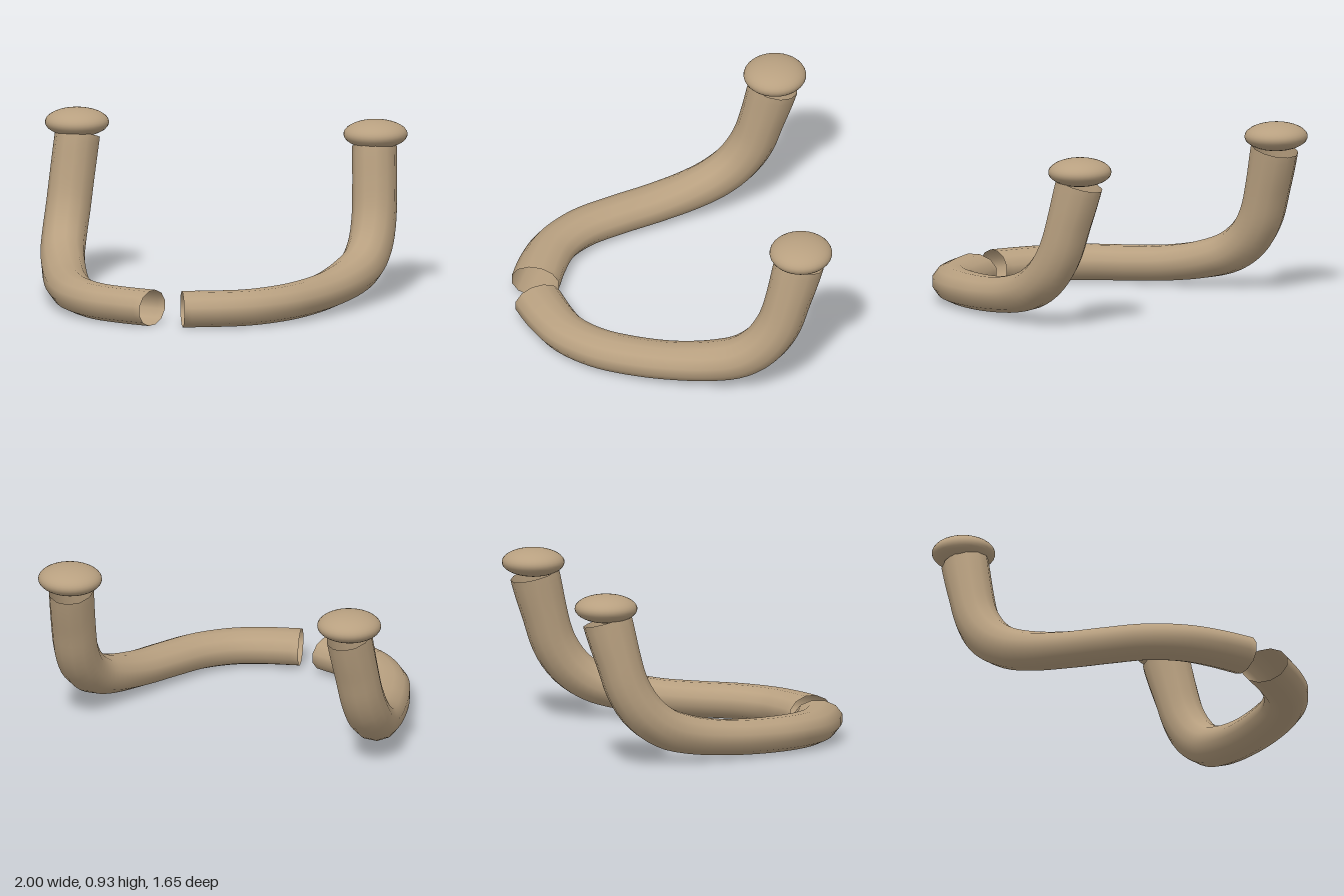
import * as THREE from 'three';

const material = new THREE.MeshStandardMaterial({ color: 0xb8a080, side: THREE.DoubleSide });
const { lerp, smoothstep } = THREE.MathUtils;

// Centre line of one arm: front end, sweep to the back, rise to the knob
const PATH = [
  [0.083, 0.1, 0.695], [0.25, 0.1, 0.64], [0.41, 0.1, 0.56], [0.555, 0.103, 0.41],
  [0.655, 0.107, 0.21], [0.73, 0.12, 0], [0.79, 0.153, -0.2], [0.828, 0.2, -0.34],
  [0.845, 0.285, -0.455], [0.846, 0.41, -0.54], [0.836, 0.6, -0.602], [0.822, 0.795, -0.655],
];

// Open tube with an oval section that is flatter along the horizontal run
function armGeometry(side, steps = 48, sides = 12) {
  const curve = new THREE.CatmullRomCurve3(PATH.map(([x, y, z]) => new THREE.Vector3(side * x, y, z)));
  const positions = [], index = [];
  for (let i = 0; i <= steps; i++) {
    const t = i / steps;
    const centre = curve.getPointAt(t), tangent = curve.getTangentAt(t);
    const rise = smoothstep(t, 0.45, 0.8);
    const across = new THREE.Vector3().crossVectors(tangent, new THREE.Vector3(0, 1, rise)).normalize();
    const normal = new THREE.Vector3().crossVectors(across, tangent);
    const flare = 0.013 * (1 - smoothstep(t, 0, 0.25));
    const width = 0.121 + flare;
    const depth = lerp(0.097, 0.121, rise) + 0.014 * smoothstep(t, 0.85, 1);
    for (let j = 0; j < sides; j++) {
      const a = ((j + 0.5) / sides) * Math.PI * 2;
      const p = centre.clone()
        .addScaledVector(across, Math.cos(a) * width)
        .addScaledVector(normal, Math.sin(a) * depth);
      positions.push(p.x, p.y, p.z);
      if (i < steps) {
        const k = (j + 1) % sides, r = i * sides, n = r + sides;
        index.push(r + j, n + j, r + k, n + j, n + k, r + k);
      }
    }
  }
  const geometry = new THREE.BufferGeometry();
  geometry.setAttribute('position', new THREE.Float32BufferAttribute(positions, 3));
  geometry.setIndex(index);
  geometry.computeVertexNormals();
  return geometry;
}

export function createModel() {
  const model = new THREE.Group();
  model.name = 'curvedArms';
  for (const [side, label] of [[1, 'left'], [-1, 'right']]) {
    const arm = new THREE.Mesh(armGeometry(side), material);
    arm.name = label + 'Arm';

    // Flattened round knob on the raised end
    const knob = new THREE.Mesh(new THREE.SphereGeometry(1, 32, 20), material);
    knob.name = label + 'Knob';
    knob.scale.set(0.173, 0.077, 0.169);
    knob.position.set(side * 0.826, 0.86, -0.662);
    model.add(arm, knob);
  }
  return model;
}
